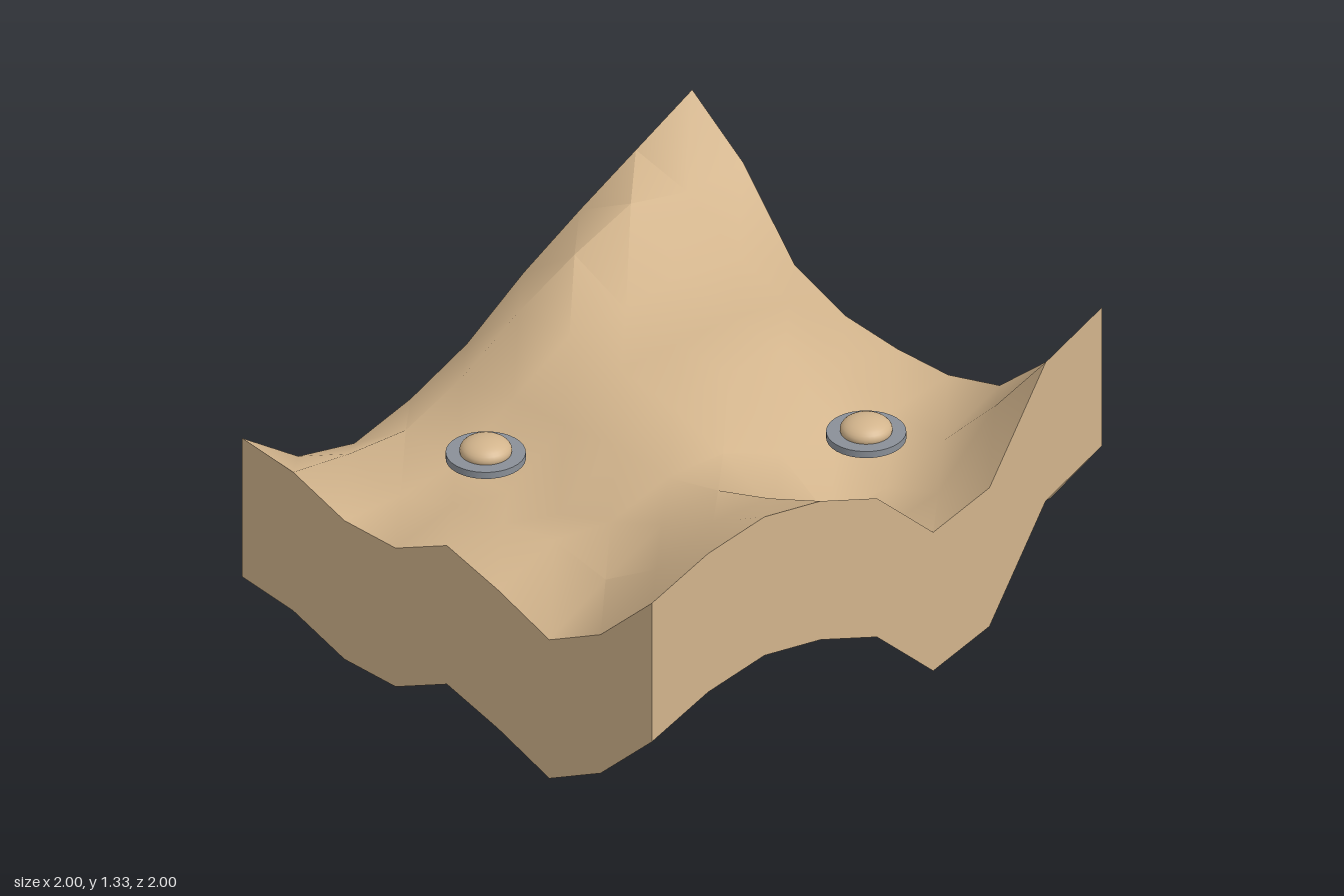
import * as THREE from 'three';
import { toCreasedNormals } from 'three/addons/utils/BufferGeometryUtils.js';

const N = 8, STEP = 0.25, SKIRT = 0.53;

// Ground heights, rows from back (z = -1) to front (z = 1), columns from x = -1 to x = 1
const HEIGHTS = [
  [0.75, 0.58, 0.53, 0.60, 0.71, 0.88, 1.02, 1.15, 1.28],
  [0.73, 0.70, 0.69, 0.79, 0.94, 1.06, 1.155, 1.10, 1.11],
  [0.655, 0.65, 0.67, 0.82, 0.96, 0.96, 1.00, 0.96, 0.83],
  [0.66, 0.72, 0.67, 0.83, 0.94, 0.94, 0.94, 0.90, 0.745],
  [0.78, 0.76, 0.70, 0.86, 0.91, 0.94, 0.93, 0.77, 0.73],
  [0.72, 0.81, 0.78, 0.85, 0.84, 0.74, 0.71, 0.70, 0.74],
  [0.64, 0.77, 0.88, 0.91, 0.74, 0.60, 0.62, 0.70, 0.81],
  [0.77, 0.92, 1.00, 0.99, 0.86, 0.67, 0.71, 0.94, 1.02],
  [1.00, 1.09, 1.13, 1.09, 1.00, 0.77, 0.84, 1.22, 1.33],
];

function buildGround() {
  const geo = new THREE.PlaneGeometry(2, 2, N, N).rotateX(-Math.PI / 2);
  const pos = geo.attributes.position;
  for (let i = 0; i < pos.count; i++) {
    pos.setY(i, HEIGHTS[Math.floor(i / (N + 1))][i % (N + 1)]);
  }
  return toCreasedNormals(geo, THREE.MathUtils.degToRad(50));
}

// Vertical wall of constant depth hanging from one border of the ground
function buildSkirt(cell) {
  const points = [], index = [];
  for (let i = 0; i <= N; i++) {
    const [col, row] = cell(i);
    const x = -1 + col * STEP, z = -1 + row * STEP, y = HEIGHTS[row][col];
    points.push(x, y, z, x, y - SKIRT, z);
    if (i < N) {
      const a = i * 2;
      index.push(a, a + 1, a + 2, a + 1, a + 3, a + 2);
    }
  }
  const geo = new THREE.BufferGeometry();
  geo.setAttribute('position', new THREE.Float32BufferAttribute(points, 3));
  geo.setIndex(index);
  geo.computeVertexNormals();
  return geo;
}

export function createModel() {
  const model = new THREE.Group();
  model.name = 'terrainTile';

  const sand = new THREE.MeshStandardMaterial({ color: 0xd2b48c, side: THREE.DoubleSide });
  sand.name = 'sand';
  const grey = new THREE.MeshStandardMaterial({ color: 0x8a9098 });
  grey.name = 'grey';

  const add = (parent, name, geometry, material) => {
    const mesh = new THREE.Mesh(geometry, material);
    mesh.name = name;
    parent.add(mesh);
    return mesh;
  };

  // Ground surface
  add(model, 'ground', buildGround(), sand);

  // Side walls, each ordered so its outside faces outward
  const walls = {
    frontSkirt: (i) => [i, N],
    leftSkirt: (i) => [N, N - i],
    backSkirt: (i) => [N - i, 0],
    rightSkirt: (i) => [0, i],
  };
  for (const [name, cell] of Object.entries(walls)) add(model, name, buildSkirt(cell), sand);

  // Hovering discs with a flattened dome through the middle
  const discGeo = new THREE.CylinderGeometry(0.132, 0.132, 0.025, 32);
  const domeGeo = new THREE.SphereGeometry(0.087, 32, 16).scale(1, 0.52, 1);
  const spots = [[-0.75, 0.988, -0.085], [0.412, 0.857, 0.495]];
  spots.forEach(([x, y, z], i) => {
    const marker = new THREE.Group();
    marker.name = `marker${i + 1}`;
    marker.position.set(x, y, z);
    add(marker, 'disc', discGeo, grey);
    add(marker, 'dome', domeGeo, sand).position.y = 0.021;
    model.add(marker);
  });

  return model;
}
